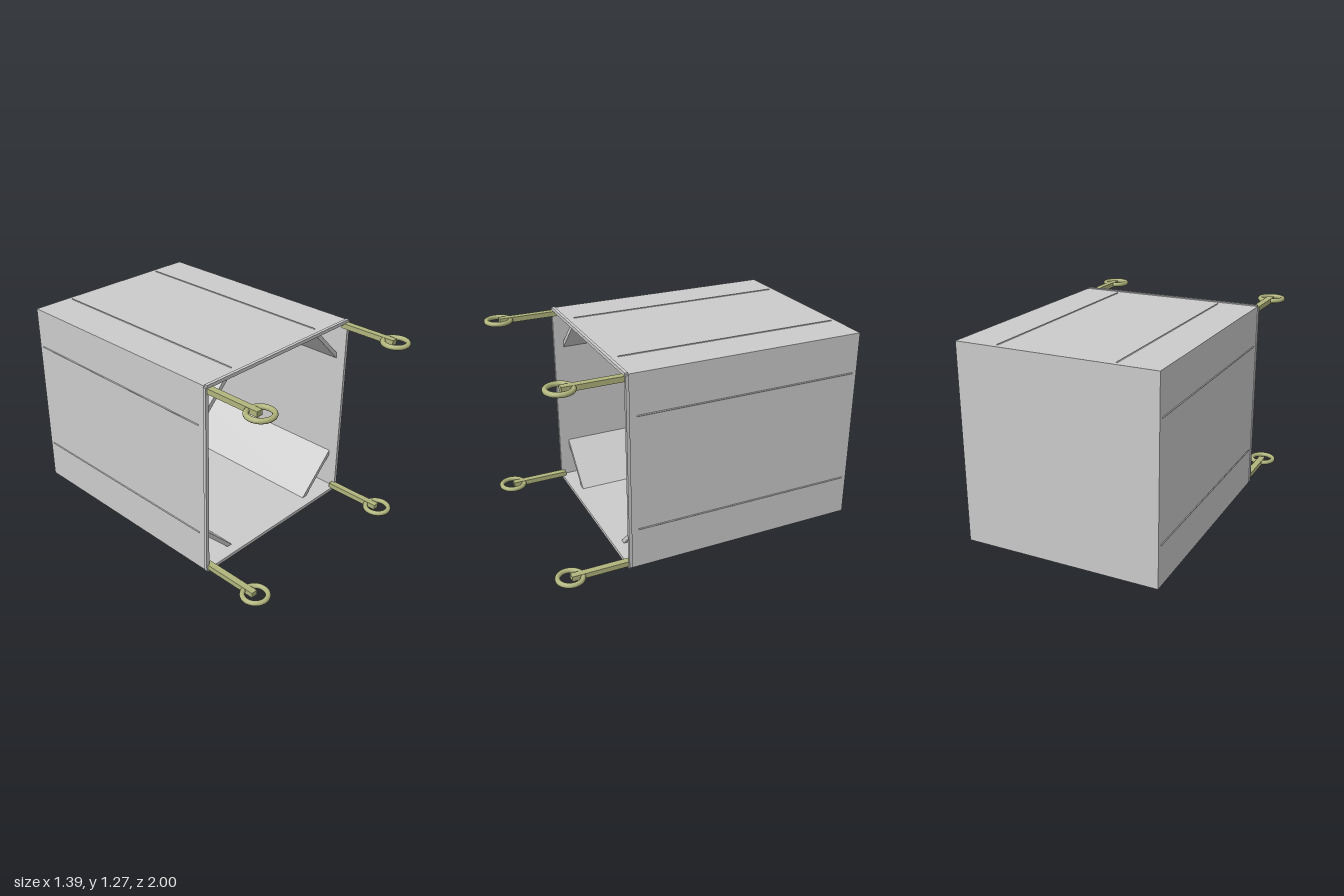
import * as THREE from 'three';

const grey = new THREE.MeshStandardMaterial({ color: 0xcccccc });
const olive = new THREE.MeshStandardMaterial({ color: 0xb0b47c });

const MID = 0.638; // height of the box centre
const OUT = 0.63, IN = 0.615; // half widths outside and inside the walls
const BACK = -1, FRONT = 0.545, LIP = 0.02;

export function createModel() {
  const model = new THREE.Group();

  // adds a box given by its size and centre
  const addBox = (name, [w, h, d], [x, y, z], material = grey) => {
    const mesh = new THREE.Mesh(new THREE.BoxGeometry(w, h, d), material);
    mesh.name = name;
    mesh.position.set(x, y, z);
    model.add(mesh);
    return mesh;
  };

  // walls of the crate, open at the front
  const wall = OUT - IN, wallMid = (OUT + IN) / 2;
  const depth = FRONT - LIP - BACK, zMid = (FRONT - LIP + BACK) / 2;
  for (const s of [-1, 1]) {
    const side = s > 0 ? 'left' : 'right', level = s > 0 ? 'top' : 'bottom';
    addBox(side + 'Wall', [wall, 2 * OUT, depth], [s * wallMid, MID, zMid]);
    addBox(level + 'Wall', [2 * IN, wall, depth], [0, MID + s * wallMid, zMid]);

    // slightly raised trim around the opening
    const trim = 0.022, trimMid = IN + trim / 2, zTrim = FRONT - LIP / 2;
    addBox(side + 'Trim', [trim, 1.248, LIP], [s * trimMid, MID, zTrim]);
    addBox(level + 'Trim', [1.25, trim, LIP], [0, MID + s * trimMid, zTrim]);
  }
  addBox('backWall', [2 * IN, 2 * IN, wall], [0, MID, BACK + wall / 2]);

  // one brace, rod and ring at each corner
  const ringZ = 0.908;
  for (const sx of [-1, 1]) {
    for (const sy of [-1, 1]) {
      // diagonal board whose outer edges just pass through the walls
      const brace = addBox('cornerBrace', [0.374, 0.027, 1.45], [sx * 0.4925, MID + sy * 0.4925, -0.245]);
      brace.rotation.z = -sx * sy * Math.PI / 4;

      const x = sx * 0.604, y = MID + sy * 0.602;
      addBox('rod', [0.042, 0.033, 0.38], [x, y, 0.713], olive);

      const ring = new THREE.Mesh(new THREE.TorusGeometry(0.076, 0.016, 12, 32), olive);
      ring.name = 'ring';
      ring.rotation.x = Math.PI / 2;
      ring.position.set(x, y, ringZ);
      model.add(ring);
    }
  }
  return model;
}
